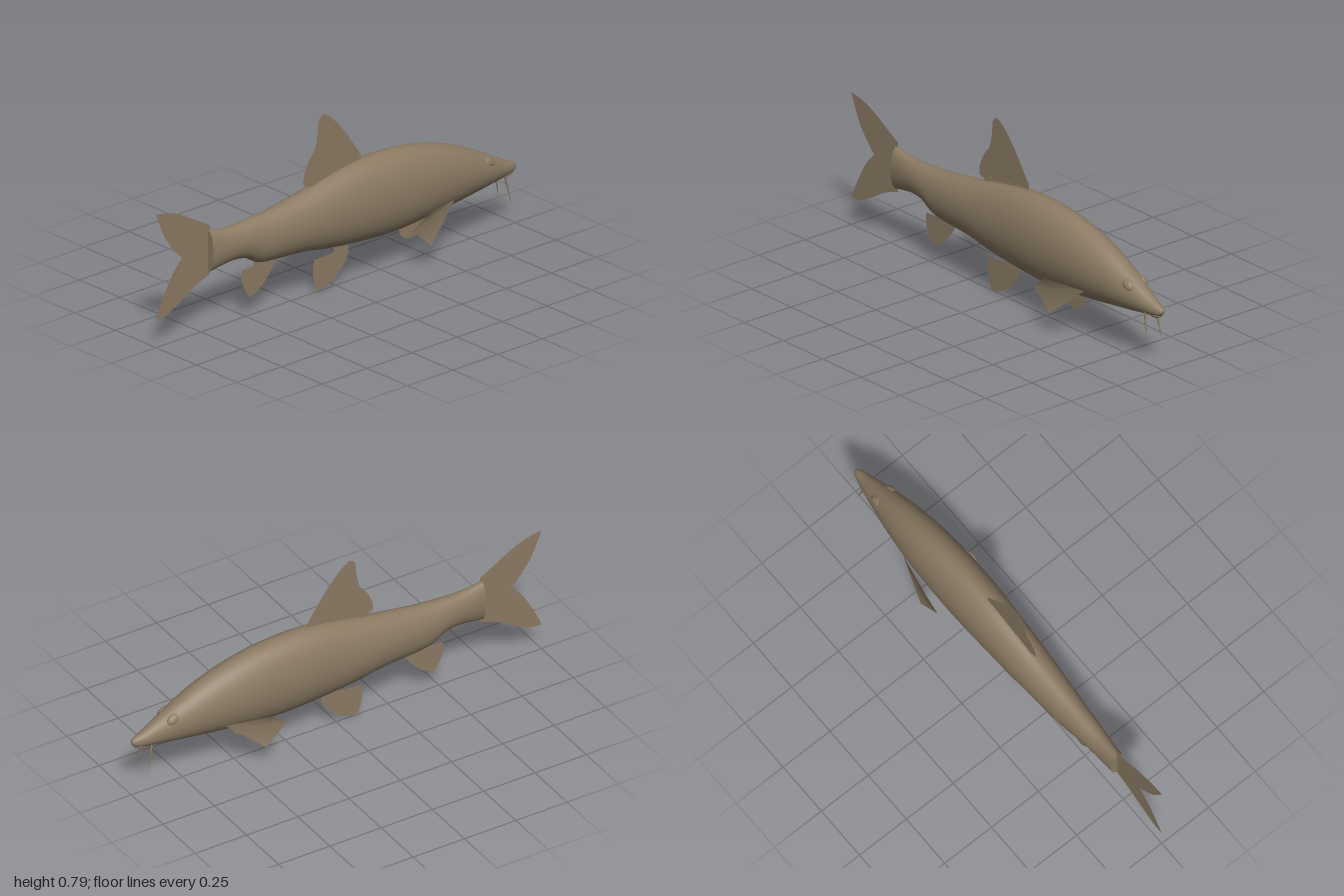
import * as THREE from 'three';

const brown = new THREE.MeshStandardMaterial({ color: 0x8b7a63, side: THREE.DoubleSide });
brown.name = 'olive brown';

function part(name, geometry, parent) {
  const mesh = new THREE.Mesh(geometry, brown);
  mesh.name = name;
  parent.add(mesh);
  return mesh;
}

// Body stations from tail to snout: x, top, bottom, half width
const stations = [
  [-0.71, 0.445, 0.258, 0.034], [-0.65, 0.434, 0.268, 0.04], [-0.58, 0.428, 0.276, 0.047],
  [-0.51, 0.43, 0.265, 0.055], [-0.44, 0.435, 0.228, 0.062], [-0.36, 0.443, 0.218, 0.07],
  [-0.2, 0.467, 0.208, 0.083], [-0.1, 0.488, 0.19, 0.09], [0, 0.508, 0.177, 0.095],
  [0.1, 0.524, 0.168, 0.1], [0.2, 0.53, 0.161, 0.104], [0.3, 0.527, 0.159, 0.105],
  [0.4, 0.516, 0.165, 0.104], [0.5, 0.496, 0.175, 0.1], [0.6, 0.466, 0.185, 0.092],
  [0.7, 0.427, 0.198, 0.08], [0.8, 0.377, 0.21, 0.062], [0.88, 0.333, 0.221, 0.045],
  [0.94, 0.3, 0.228, 0.031], [0.975, 0.284, 0.235, 0.021], [0.994, 0.274, 0.247, 0.012],
  [1, 0.263, 0.259, 0.002],
];

// Loft elliptical rings through the smoothed stations
function bodyGeometry(rings = 84, sides = 40) {
  const heights = new THREE.CatmullRomCurve3(
    stations.map(([x, t, b]) => new THREE.Vector3(x, t, b)), false, 'catmullrom');
  const widths = new THREE.CatmullRomCurve3(
    stations.map(([x, , , w]) => new THREE.Vector3(x, w, 0)), false, 'catmullrom');
  const positions = [], index = [];
  for (let i = 0; i <= rings; i++) {
    const h = heights.getPoint(i / rings), w = widths.getPoint(i / rings).y;
    for (let j = 0; j < sides; j++) {
      const a = (j / sides) * Math.PI * 2;
      positions.push(h.x, (h.y + h.z) / 2 + ((h.y - h.z) / 2) * Math.sin(a), w * Math.cos(a));
      if (i === rings) continue;
      const p = i * sides + j, q = i * sides + ((j + 1) % sides);
      index.push(p, p + sides, q, q, p + sides, q + sides);
    }
  }
  const g = new THREE.BufferGeometry();
  g.setAttribute('position', new THREE.Float32BufferAttribute(positions, 3));
  g.setIndex(index);
  g.computeVertexNormals();
  return g;
}

// Flat fin bounded by smooth runs of points; corners stay sharp where runs meet
function finGeometry(runs) {
  const shape = new THREE.Shape();
  shape.moveTo(...runs[0][0]);
  for (const run of runs) {
    if (run.length === 2) shape.lineTo(...run[1]);
    else shape.splineThru(run.slice(1).map(([x, y]) => new THREE.Vector2(x, y)));
  }
  return new THREE.ShapeGeometry(shape, 8);
}

// Row of short rays joining a fin to the body
function finRays(name, from, to, count, height, parent) {
  const rays = new THREE.Group();
  rays.name = name;
  parent.add(rays);
  for (let i = 0; i < count; i++) {
    const t = i / (count - 1);
    const ray = part('finRay', new THREE.ConeGeometry(0.004, height * (i % 2 ? 0.8 : 1), 5), rays);
    ray.position.set(from[0] + (to[0] - from[0]) * t, from[1] + (to[1] - from[1]) * t, 0);
    if (height < 0) ray.rotation.z = 0.2;
  }
}

// Faceted side fin, cupped around an inner point
function pectoralGeometry(side) {
  const p = [[0.59, 0.244, 0.082], [0.4, 0.259, 0.143], [0.315, 0.19, 0.122],
    [0.42, 0.1, 0.127], [0.42, 0.2, 0.108]];
  const g = new THREE.BufferGeometry();
  g.setAttribute('position', new THREE.Float32BufferAttribute(
    p.flatMap(([x, y, z]) => [x, y, z * side]), 3));
  const faces = [[0, 1, 4], [1, 2, 4], [2, 3, 4], [3, 0, 4]];
  g.setIndex(faces.flatMap(([a, b, c]) => (side > 0 ? [a, b, c] : [a, c, b])));
  g.computeVertexNormals();
  return g;
}

// Tapered whisker
function barbelGeometry(side) {
  const path = new THREE.CatmullRomCurve3([
    new THREE.Vector3(0.918, 0.24, 0.029 * side), new THREE.Vector3(0.928, 0.185, 0.034 * side),
    new THREE.Vector3(0.936, 0.15, 0.037 * side), new THREE.Vector3(0.94, 0.12, 0.042 * side)]);
  const g = new THREE.TubeGeometry(path, 12, 0.006, 8);
  const pos = g.attributes.position, v = new THREE.Vector3();
  for (let i = 0; i < pos.count; i++) {
    const t = Math.floor(i / 9) / 12, c = path.getPointAt(t);
    v.fromBufferAttribute(pos, i).sub(c).multiplyScalar(1 - 0.85 * t).add(c);
    pos.setXYZ(i, v.x, v.y, v.z);
  }
  return g;
}

export function createModel() {
  const fish = new THREE.Group();
  fish.name = 'fish';
  part('body', bodyGeometry(), fish);

  // Closing plate at the tail root
  const plate = part('tailRoot', new THREE.CircleGeometry(1, 40), fish);
  plate.scale.set(0.034, 0.0935, 1);
  plate.rotation.y = -Math.PI / 2;
  plate.position.set(-0.71, 0.3515, 0);

  part('tailFin', finGeometry([
    [[-0.7, 0.465], [-0.78, 0.51], [-0.87, 0.56], [-0.94, 0.585], [-1, 0.595]],
    [[-1, 0.595], [-0.985, 0.555], [-0.945, 0.47], [-0.9, 0.41], [-0.855, 0.362]],
    [[-0.855, 0.362], [-0.905, 0.305], [-0.95, 0.23], [-0.985, 0.16], [-1, 0.122]],
    [[-1, 0.122], [-0.94, 0.128], [-0.86, 0.17], [-0.78, 0.215], [-0.7, 0.245]],
    [[-0.7, 0.245], [-0.7, 0.465]],
  ]), fish);

  part('dorsalFin', finGeometry([
    [[-0.15, 0.487], [-0.178, 0.5], [-0.175, 0.54], [-0.15, 0.595], [-0.115, 0.64], [-0.1, 0.7],
      [-0.092, 0.765], [-0.065, 0.787]],
    [[-0.065, 0.787], [-0.02, 0.755], [0.04, 0.69], [0.09, 0.62], [0.138, 0.552]],
    [[0.138, 0.552], [0.138, 0.525]],
    [[0.138, 0.525], [0.07, 0.51], [-0.05, 0.485], [-0.15, 0.475]],
  ]), fish);
  finRays('dorsalRays', [-0.14, 0.488], [0.135, 0.535], 16, 0.035, fish);

  part('pelvicFin', finGeometry([
    [[-0.12, 0.145], [-0.126, 0.09], [-0.115, 0.035], [-0.098, 0]],
    [[-0.098, 0], [-0.05, 0.012], [0.01, 0.045], [0.05, 0.085], [0.074, 0.13]],
    [[0.074, 0.13], [0.07, 0.18]],
    [[0.07, 0.18], [-0.015, 0.19]],
    [[-0.015, 0.19], [-0.012, 0.15]],
    [[-0.012, 0.15], [-0.12, 0.145]],
  ]), fish);
  finRays('pelvicRays', [-0.01, 0.168], [0.07, 0.165], 6, -0.035, fish);

  part('analFin', finGeometry([
    [[-0.52, 0.212], [-0.522, 0.17], [-0.505, 0.12], [-0.478, 0.08]],
    [[-0.478, 0.08], [-0.44, 0.092], [-0.4, 0.122], [-0.365, 0.16], [-0.335, 0.2]],
    [[-0.335, 0.2], [-0.345, 0.23]],
    [[-0.345, 0.23], [-0.455, 0.25]],
    [[-0.455, 0.25], [-0.45, 0.215]],
    [[-0.45, 0.215], [-0.52, 0.212]],
  ]), fish);
  finRays('analRays', [-0.45, 0.222], [-0.345, 0.213], 7, -0.035, fish);

  part('bellyFin', finGeometry([
    [[0.35, 0.18], [0.355, 0.14], [0.375, 0.11], [0.42, 0.096], [0.47, 0.107], [0.5, 0.135],
      [0.51, 0.18]],
    [[0.51, 0.18], [0.35, 0.18]],
  ]), fish);
  finRays('bellyRays', [0.39, 0.155], [0.49, 0.162], 7, -0.03, fish);

  // Mirrored side fins, whiskers and eyes
  for (const side of [1, -1]) {
    const label = side > 0 ? 'Front' : 'Back';
    part('pectoralFin' + label, pectoralGeometry(side), fish);
    part('barbel' + label, barbelGeometry(side), fish);
    const eye = part('eye' + label, new THREE.SphereGeometry(1, 20, 14), fish);
    eye.scale.set(0.03, 0.02, 0.012);
    eye.position.set(0.82, 0.338, 0.04 * side);
    eye.rotation.set(-0.6 * side, 0.25 * side, -0.4);
  }

  // Lower lip
  const lip = part('lowerLip', new THREE.SphereGeometry(1, 20, 12), fish);
  lip.scale.set(0.03, 0.01, 0.018);
  lip.position.set(0.957, 0.234, 0);
  lip.rotation.z = 0.2;

  return fish;
}
